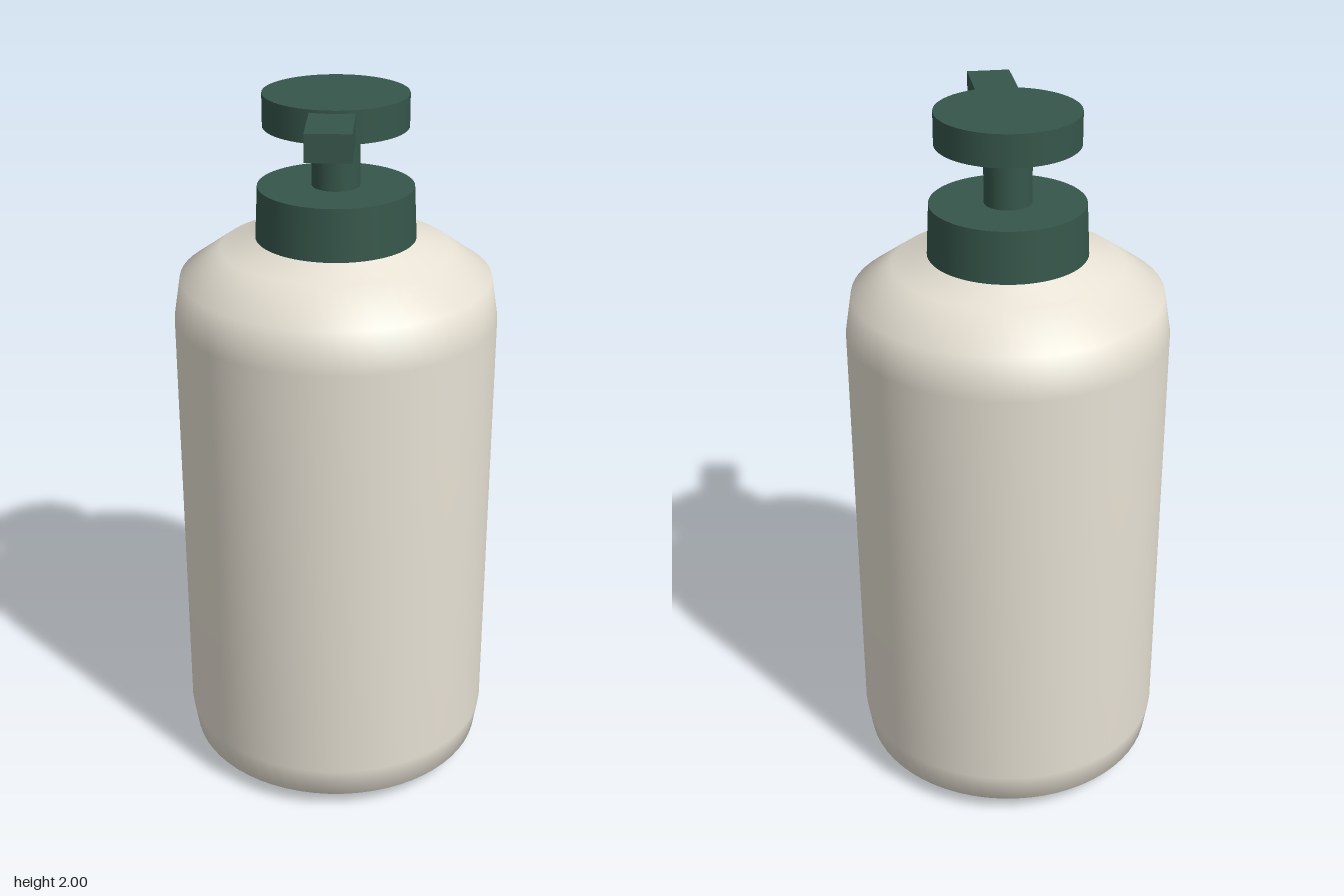
import * as THREE from 'three';

export function createModel() {
  const group = new THREE.Group();
  const cream = new THREE.MeshStandardMaterial({ color: 0xe6e0d3 });
  const green = new THREE.MeshStandardMaterial({ color: 0x36564a });

  function add(name, geometry, material, y, z = 0) {
    const mesh = new THREE.Mesh(geometry, material);
    mesh.name = name;
    mesh.position.set(0, y, z);
    group.add(mesh);
  }
  // Upright cylinder given by its bottom and top heights
  function disc(name, rTop, rBottom, y0, y1) {
    add(name, new THREE.CylinderGeometry(rTop, rBottom, y1 - y0, 64), green, (y0 + y1) / 2);
  }

  // Bottle body with chamfered base and sloping shoulder
  const profile = [
    [0, 0], [0.37, 0.005], [0.433, 0.05], [0.447, 0.14], [0.447, 1.385],
    [0.428, 1.5], [0.315, 1.58], [0.205, 1.61], [0.205, 1.64],
  ].map(([r, y]) => new THREE.Vector2(r, y));
  add('bottle', new THREE.LatheGeometry(profile, 64), cream, 0);

  // Pump: collar, stem and press head
  disc('collar', 0.212, 0.219, 1.607, 1.75);
  disc('stem', 0.065, 0.065, 1.74, 1.92);
  disc('pumpHead', 0.195, 0.195, 1.912, 2);

  // Spout reaching forward from the head
  add('spout', new THREE.BoxGeometry(0.118, 0.072, 0.285), green, 1.956, 0.24);

  return group;
}
